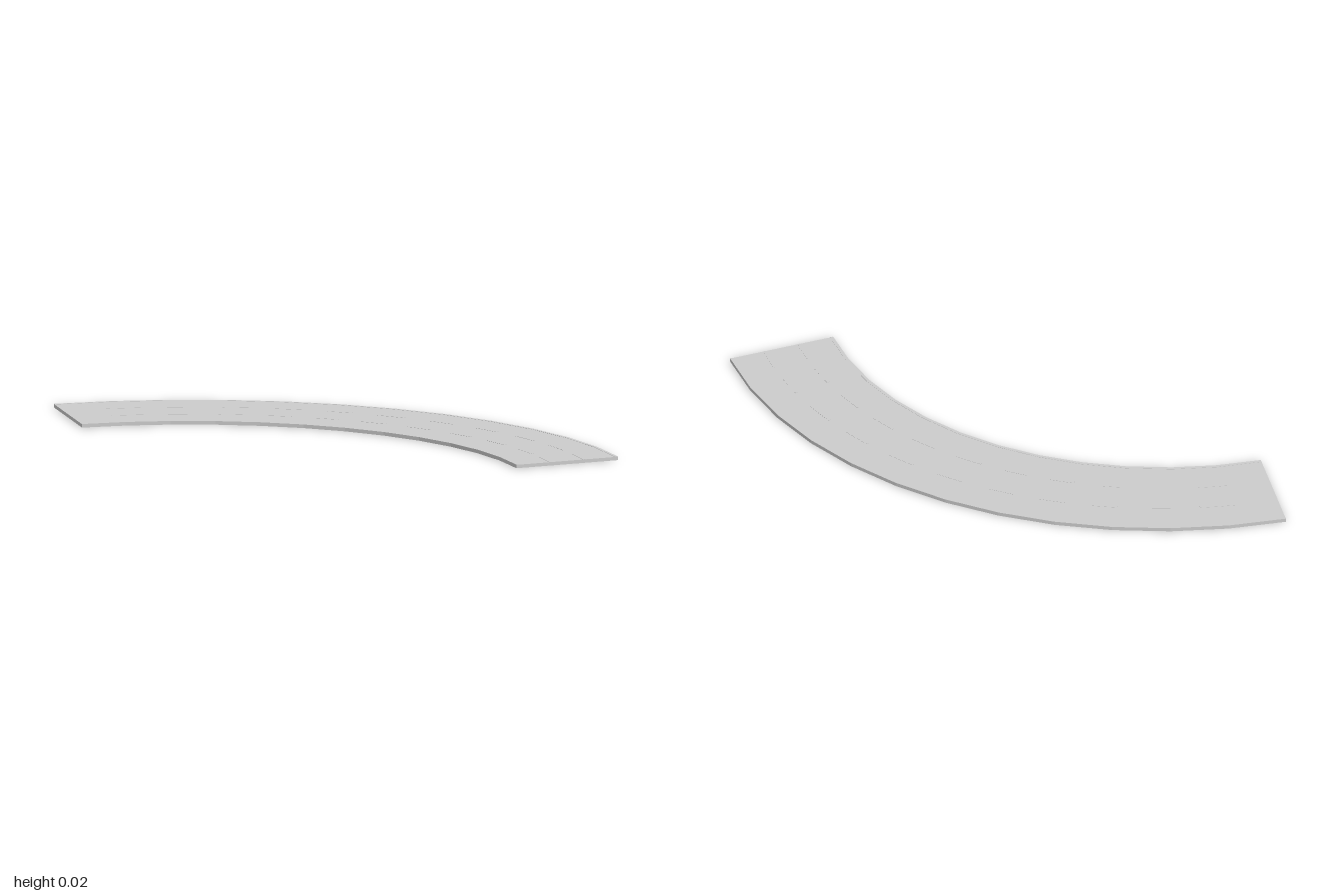
import * as THREE from 'three';

const SEGMENTS = 12; // straight steps along the quarter bend
const EDGE = 0.03; // edge line width as a share of the road width

// The inner and outer edges are quarter arcs with slightly different centres.
const INNER = { x: -0.993, z: 0.998, r: 1.503 };
const OUTER = { x: -0.961, z: 0.953, r: 1.953 };

// Point across the road (u: 0 inner, 1 outer) at an angle along the bend
function roadPoint(u, degrees) {
  const mix = (key) => THREE.MathUtils.lerp(INNER[key], OUTER[key], u);
  const a = THREE.MathUtils.degToRad(degrees);
  const x = mix('x') + mix('r') * Math.sin(a);
  const z = mix('z') - mix('r') * Math.cos(a);
  return new THREE.Vector2(x, -z);
}

// Solid curved strip between two offsets, two angles and two heights
function curvedStrip(name, material, u0, u1, a0, a1, steps, y0, y1) {
  const near = [];
  const far = [];
  for (let i = 0; i <= steps; i++) {
    const a = THREE.MathUtils.lerp(a0, a1, i / steps);
    near.push(roadPoint(u0, a));
    far.push(roadPoint(u1, a));
  }
  const shape = new THREE.Shape([...near, ...far.reverse()]);
  const geometry = new THREE.ExtrudeGeometry(shape, { depth: y1 - y0, bevelEnabled: false });
  geometry.rotateX(-Math.PI / 2);
  geometry.translate(0, y0, 0);
  const mesh = new THREE.Mesh(geometry, material);
  mesh.name = name;
  return mesh;
}

export function createModel() {
  const model = new THREE.Group();
  model.name = 'curvedRoad';
  const material = new THREE.MeshStandardMaterial({ color: 0xcccccc, flatShading: true });
  const top = 0.016;

  // Road slab
  model.add(curvedStrip('roadSurface', material, EDGE, 1 - EDGE, 0, 90, SEGMENTS, 0, top - 0.001));

  // Edge lines along both sides
  model.add(curvedStrip('innerEdge', material, 0, EDGE, 0, 90, SEGMENTS, 0, top));
  model.add(curvedStrip('outerEdge', material, 1 - EDGE, 1, 0, 90, SEGMENTS, 0, top));

  // Two rows of lane dashes, given by their start and end angles
  const dashes = [
    [6.1, 11], [14.7, 18.6], [22.4, 26], [29.8, 33.7], [37.3, 41], [44.9, 49.2],
    [53.2, 57.4], [61.6, 65.9], [69.7, 74.3], [78.2, 82.8], [85.6, 90],
  ];
  const halfWidth = 0.012;
  for (const [row, u] of [['innerLaneDash', 0.335], ['outerLaneDash', 0.665]]) {
    for (const [a0, a1] of dashes) {
      model.add(curvedStrip(row, material, u - halfWidth, u + halfWidth, a0, a1, 2, 0.008, top));
    }
  }
  return model;
}
